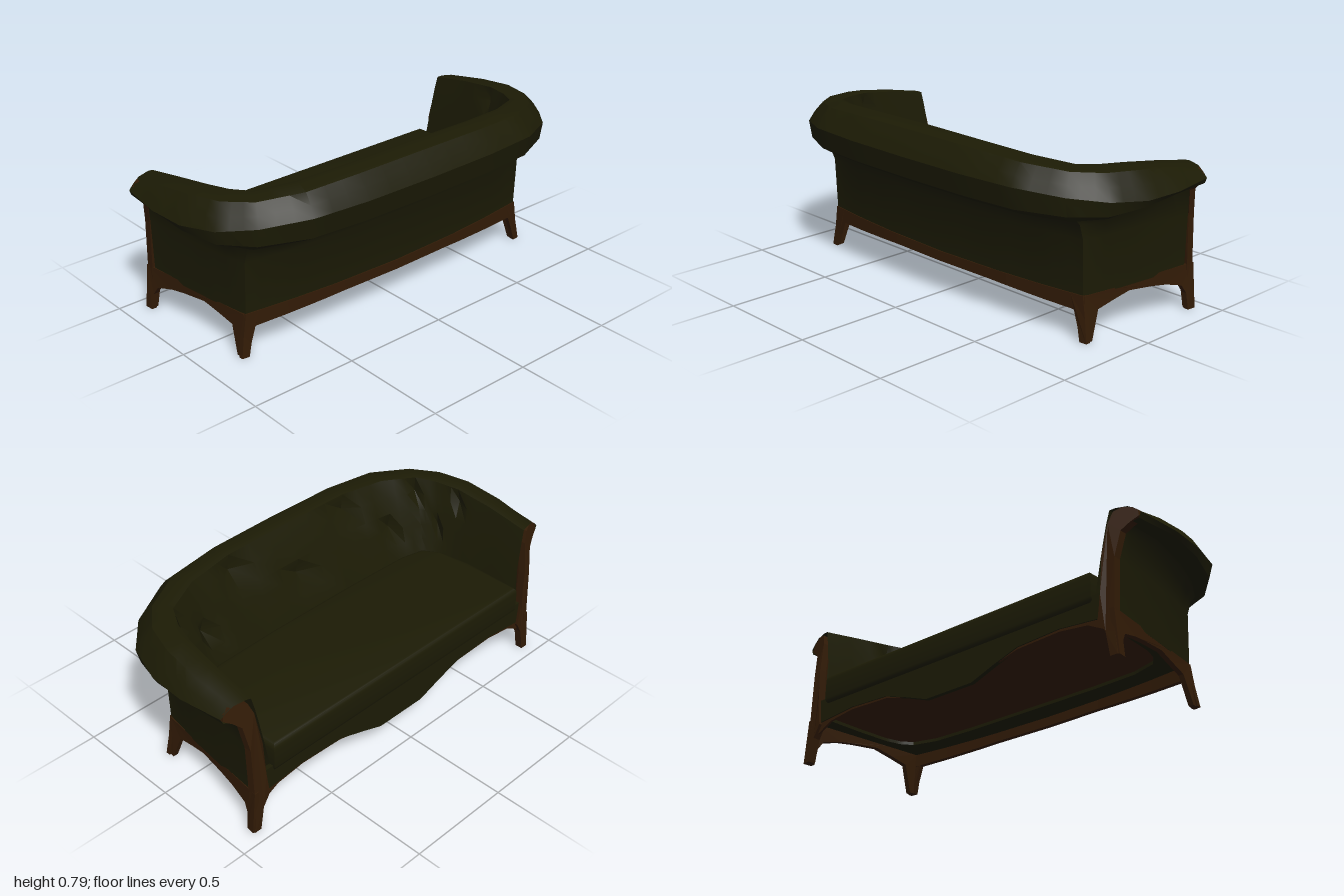
import * as THREE from 'three';
import { toCreasedNormals } from 'three/addons/utils/BufferGeometryUtils.js';

const fabric = new THREE.MeshStandardMaterial({ name: 'olive upholstery', color: 0x1c1b05, side: THREE.DoubleSide });
const wood = new THREE.MeshStandardMaterial({ name: 'dark wood', color: 0x321b06, side: THREE.DoubleSide });
const lerp = THREE.MathUtils.lerp;

function named(name, geometry, material) {
  const mesh = new THREE.Mesh(geometry, material);
  mesh.name = name;
  return mesh;
}

// Half plan of the backrest, from its middle round to the end of the arm:
// wall x,z | roll edge x,z | inner top x,z | seat edge x,z | roll bottom, widest and top heights
const STATIONS = [
  [0, .23, 0, .447, 0, .28, 0, .105, .54, .67, .785],
  [.35, .222, .35, .442, .35, .28, .35, .105, .54, .67, .782],
  [.58, .205, .62, .42, .58, .25, .58, .095, .54, .67, .768],
  [.80, .18, .82, .32, .74, .18, .70, .06, .54, .65, .75],
  [.815, .08, .94, .19, .79, .09, .74, .01, .545, .63, .743],
  [.83, -.02, .99, .02, .82, -.02, .76, -.06, .57, .612, .736],
  [.85, -.2, 1, -.16, .835, -.2, .77, -.2, .595, .613, .708],
  [.867, -.39, .975, -.372, .84, -.4, .775, -.42, .587, .62, .668],
];

// One cross-section: up the outer wall, round the roll, down the inside
function section(s, tufted) {
  const [bx, bz, ox, oz, tx, tz, ix, iz, yL, yW, yT] = s;
  const pts = [];
  const wall = [[0, .19], [.07, .44], [.25, yL - .03], [.45, yL], [.65, yL], [.9, lerp(yL, yW, .25)], [1, yW]];
  for (const [f, y] of wall) pts.push([lerp(bx, ox, f), y, lerp(bz, oz, f)]);
  for (const [u, v] of [[.18, .45], [.42, .87], [.82, 1], [1, .93]]) {
    pts.push([lerp(ox, tx, u), lerp(yW, yT, v), lerp(oz, tz, u)]);
  }
  const top = lerp(yW, yT, .93);
  for (let r = 1; r <= 6; r++) {
    const t = r / 6;
    const push = tufted(r) ? .14 : 0;
    const k = Math.pow(t, .85);
    pts.push([lerp(tx, ix, k) + (ox - ix) * push, lerp(top, .3, t), lerp(tz, iz, k) + (oz - iz) * push]);
  }
  pts.push([ix, .19, iz], [bx, .19, bz]);
  return pts;
}

function shellGeometry() {
  const SUB = 3, half = (STATIONS.length - 1) * SUB;
  const positions = [], index = [];
  let rows = 0;
  for (let k = -half; k <= half; k++) {
    const a = Math.abs(k), i = Math.min(Math.floor(a / SUB), STATIONS.length - 2);
    const s = STATIONS[i].map((v, j) => lerp(v, STATIONS[i + 1][j], a / SUB - i));
    const tufted = r => a < 16 && ((r === 3 && a % 6 === 0) || (r === 1 && a % 6 === 3));
    const pts = section(s, tufted);
    rows = pts.length;
    for (const [x, y, z] of pts) positions.push(k < 0 ? -x : x, y, z);
  }
  for (let s = 0; s < 2 * half; s++) {
    for (let r = 0; r < rows - 1; r++) {
      const p = s * rows + r, q = p + rows;
      index.push(p, q, p + 1, q, q + 1, p + 1);
    }
  }
  const g = new THREE.BufferGeometry();
  g.setAttribute('position', new THREE.Float32BufferAttribute(positions, 3));
  g.setIndex(index);
  return toCreasedNormals(g, 0.6);
}

function plate(points, depth, options = {}) {
  const shape = new THREE.Shape(points.map(p => new THREE.Vector2(...p)));
  return new THREE.ExtrudeGeometry(shape, { depth, bevelEnabled: false, ...options });
}

// Moves every vertex by a rule
function bend(geometry, rule) {
  const p = geometry.attributes.position;
  for (let i = 0; i < p.count; i++) p.setXYZ(i, ...rule(p.getX(i), p.getY(i), p.getZ(i)));
  geometry.computeVertexNormals();
  return geometry;
}

// Completes a right-hand outline with its mirror image
const mirrored = pts => [...pts, ...pts.slice().reverse().map(([x, y]) => [-x, y])];

// Depth of the bowed back wall at a given x
function backZ(x) {
  const a = Math.abs(x);
  if (a < .35) return lerp(.232, .224, a / .35);
  return a < .58 ? lerp(.224, .207, (a - .35) / .23) : lerp(.207, .182, (a - .58) / .22);
}

export function createModel() {
  const sofa = new THREE.Group();
  sofa.name = 'sofa';
  sofa.add(named('tuftedBackAndArms', shellGeometry(), fabric));

  // Seat cushion, plan drawn as x,-z and turned flat
  const seatPlan = mirrored([[.75, .425], [.755, .15], [.735, 0], [.69, -.07], [.58, -.095], [.25, -.105]]);
  const cushion = plate(seatPlan, .09, { bevelEnabled: true, bevelSize: .02, bevelThickness: .025, bevelSegments: 3 });
  cushion.rotateX(-Math.PI / 2).translate(0, .285, 0);
  sofa.add(named('seatCushion', toCreasedNormals(cushion, 0.8), fabric));

  // Wooden underside
  const under = plate(mirrored([[.82, .42], [.79, 0], [.72, -.09], [.55, -.12], [.2, -.13]]), .02);
  under.rotateX(-Math.PI / 2).translate(0, .205, 0);
  sofa.add(named('underside', under, wood));

  // Shaped front apron with a drop in the middle, and its wooden edge
  const apron = plate(mirrored([[.13, .105], [.25, .148], [.38, .19], [.6, .2], [.8, .18], [.81, .29]]), .02);
  sofa.add(named('frontApron', apron.translate(0, 0, -.435), fabric));
  const trim = plate(mirrored([[.13, .112], [.25, .15], [.38, .182], [.6, .19], [.74, .172], [.82, .13], [.82, .24]]), .01);
  sofa.add(named('apronTrim', trim.translate(0, 0, -.43), wood));

  // Back rail, bowed along the back wall, with a gently arched lower edge
  const rail = new THREE.BoxGeometry(1.6, 1, .022, 16, 1, 1).toNonIndexed();
  bend(rail, (x, y, z) => {
    const a = Math.abs(x);
    return [x, y > 0 ? lerp(.193, .2, a / .8) : lerp(.147, .13, Math.max(0, a - .3) / .5), backZ(x) - .008 + z];
  });
  sofa.add(named('backRail', rail, wood));

  for (const side of [-1, 1]) {
    const name = side > 0 ? 'left' : 'right';

    // Tapered back leg, raked outwards
    const backLeg = plate([[.785, .06], [.80, 0], [.835, 0], [.818, .1], [.803, .2], [.74, .2], [.74, .135], [.76, .13]]
      .map(([x, y]) => [side * x, y]), .022);
    bend(backLeg, (x, y, z) => [x, y, backZ(x) - .019 + z + Math.max(0, .12 - y) * .09]);
    sofa.add(named(name + 'BackLeg', backLeg, wood));

    // Side rail with both legs, drawn in z,y
    const railSide = plate([[.193, 0], [.15, 0], [.105, .125], [.02, .145], [-.07, .165], [-.2, .152], [-.28, .14],
      [-.37, .115], [-.395, .075], [-.4, 0], [-.44, 0], [-.44, .205], [-.15, .205], [.02, .197], [.175, .197]], .024);
    bend(railSide, (z, y, d) => {
      const x = .782 + (.18 - z) * .115 + d + Math.max(0, .15 - y) * .13;
      return [side * x, y, z];
    });
    if (side > 0) {
      // The swap of axes turns faces over on this side, so their order is restored
      const p = railSide.attributes.position;
      for (let i = 0; i < p.count; i += 3) {
        const a = [p.getX(i), p.getY(i), p.getZ(i)];
        p.setXYZ(i, p.getX(i + 1), p.getY(i + 1), p.getZ(i + 1));
        p.setXYZ(i + 1, ...a);
      }
      railSide.computeVertexNormals();
    }
    sofa.add(named(name + 'SideRail', railSide, wood));

    // Scrolled arm front running down into the leg, its face turned outwards
    const outline = [[.855, 0], [.89, 0], [.878, .1], [.875, .2], [.877, .43], [.895, .55], [.93, .582], [.965, .605],
      [.96, .635], [.935, .655], [.895, .665], [.86, .652], [.84, .6], [.825, .45], [.815, .28], [.80, .17], [.835, .11]];
    const post = plate(outline.map(([x, y]) => [side * x, y]), .036);
    bend(post, (x, y, z) => {
      const turn = Math.max(0, Math.abs(x) - .82) * .32 * Math.min(1, y / .4);
      return [x, y, z - .445 + Math.max(0, y - .43) * .14 + turn];
    });
    sofa.add(named(name + 'ArmFront', post, wood));
  }
  return sofa;
}
